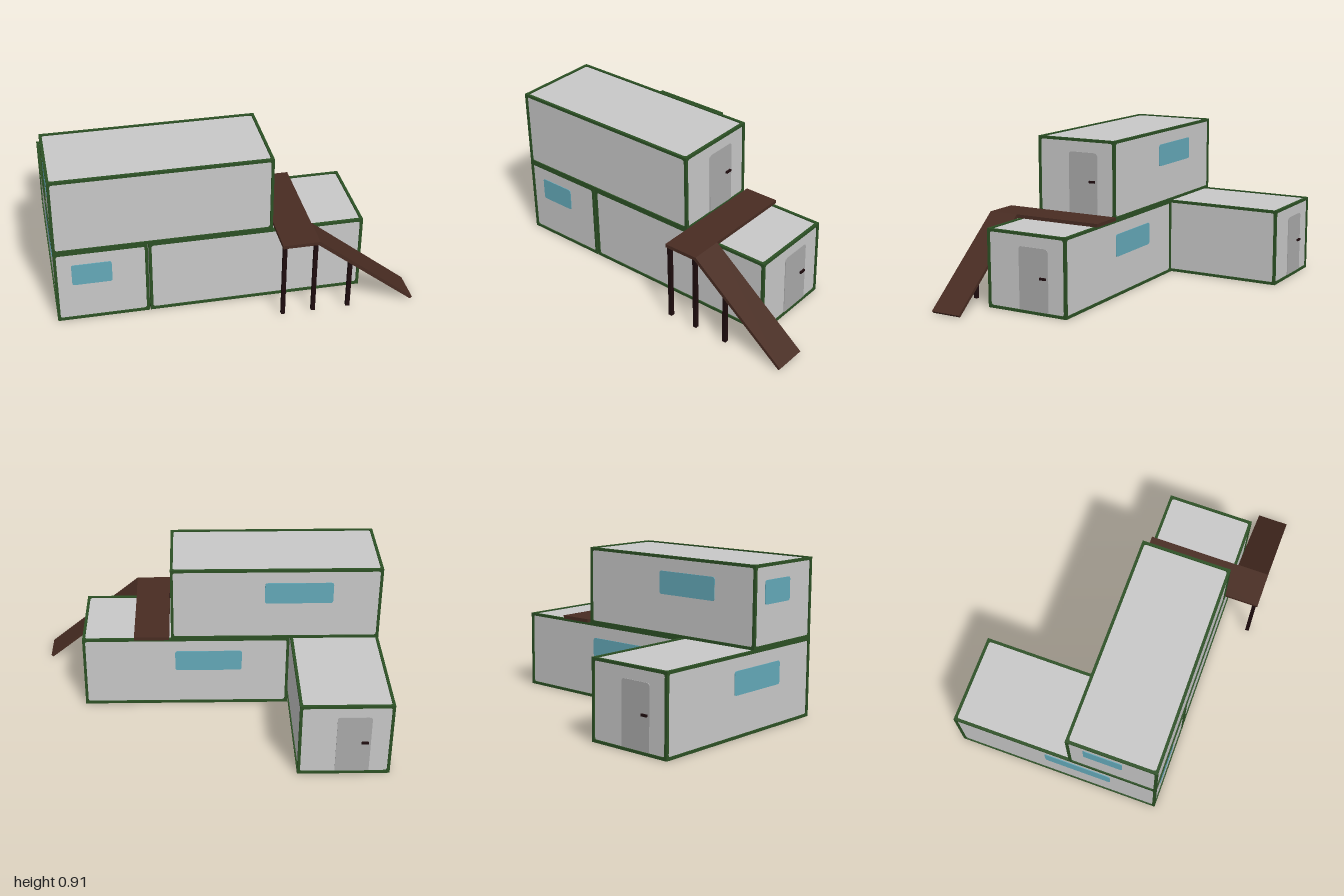
import * as THREE from 'three';

const mat = (name, color) => {
  const m = new THREE.MeshStandardMaterial({ color });
  m.name = name;
  return m;
};

export function createModel() {
  const green = mat('green frame', 0x2c5024);
  const grey = mat('grey panel', 0xc8c8c8);
  const doorGrey = mat('door grey', 0xaaaaaa);
  const glass = mat('window blue', 0x64a9b9);
  const wood = mat('brown wood', 0x482c22);
  const dark = mat('dark brown', 0x1e0c0e);

  const L = 1.218, W = 0.517, H = 0.455; // container size
  const EDGE = 0.016, INSET = 0.007;     // frame width and panel recess

  const add = (parent, name, geo, material, x = 0, y = 0, z = 0) => {
    const m = new THREE.Mesh(geo, material);
    m.name = name;
    m.position.set(x, y, z);
    parent.add(m);
    return m;
  };
  const box = (parent, name, material, w, h, d, x, y, z) =>
    add(parent, name, new THREE.BoxGeometry(w, h, d), material, x, y, z);

  // Rectangle with separate radii for its bottom and top corners
  const rounded = (path, w, h, rb, rt) => {
    const x = w / 2, y = h / 2;
    path.moveTo(-x + rb, -y);
    path.lineTo(x - rb, -y);
    path.quadraticCurveTo(x, -y, x, -y + rb);
    path.lineTo(x, y - rt);
    path.quadraticCurveTo(x, y, x - rt, y);
    path.lineTo(-x + rt, y);
    path.quadraticCurveTo(-x, y, -x, y - rt);
    path.lineTo(-x, -y + rb);
    path.quadraticCurveTo(-x, -y, -x + rb, -y);
    return path;
  };
  const extrude = (shape, depth) =>
    new THREE.ExtrudeGeometry(shape, { depth, bevelEnabled: false, curveSegments: 5 });
  const plate = (w, h, rb, rt) => extrude(rounded(new THREE.Shape(), w, h, rb, rt), 0.004);

  // Frame ring with a rounded opening, facing +z
  const ring = (w, h) => {
    const s = new THREE.Shape();
    s.moveTo(-w / 2, -h / 2);
    s.lineTo(w / 2, -h / 2);
    s.lineTo(w / 2, h / 2);
    s.lineTo(-w / 2, h / 2);
    s.closePath();
    s.holes.push(rounded(new THREE.Path(), w - 2 * EDGE, h - 2 * EDGE, 0.014, 0.014));
    return extrude(s, INSET);
  };

  // One container: door on +x end, windows on -x end and -z side
  const container = (name) => {
    const g = new THREE.Group();
    g.name = name;
    box(g, 'panels', grey, L - 2 * INSET, H - 2 * INSET, W - 2 * INSET, 0, H / 2, 0);
    const faces = [
      [L, H, W, 0, 0], [L, H, W, 0, Math.PI],
      [W, H, L, 0, Math.PI / 2], [W, H, L, 0, -Math.PI / 2],
      [L, W, H, Math.PI / 2, 0], [L, W, H, -Math.PI / 2, 0],
    ];
    for (const [w, h, depth, rx, ry] of faces) {
      const holder = new THREE.Group();
      holder.name = 'frameSide';
      holder.position.y = H / 2;
      holder.rotation.set(rx, ry, 0);
      add(holder, 'frame', ring(w, h), green, 0, 0, depth / 2 - INSET);
      g.add(holder);
    }
    // Door and handle
    const xDoor = L / 2 - INSET, zDoor = -0.045;
    add(g, 'door', plate(0.19, 0.36, 0.001, 0.02), doorGrey, xDoor, 0.197, zDoor)
      .rotation.y = Math.PI / 2;
    box(g, 'doorHandle', dark, 0.012, 0.013, 0.038, xDoor + 0.008, 0.209, -0.108);
    // Windows
    add(g, 'endWindow', plate(0.222, 0.132, 0.014, 0.014), glass, -L / 2 + INSET, 0.3, -0.053)
      .rotation.y = -Math.PI / 2;
    add(g, 'sideWindow', plate(0.395, 0.132, 0.016, 0.016), glass, -0.133, 0.3, -W / 2 + INSET)
      .rotation.y = Math.PI;
    return g;
  };

  const model = new THREE.Group();
  model.name = 'containerHouse';

  const lowerLong = container('lowerContainer');
  lowerLong.position.set(0.131, 0, 0.251);
  const lowerCross = container('crossContainer');
  lowerCross.rotation.y = Math.PI / 2;
  lowerCross.position.set(-0.7415, 0, -0.0985);
  const upper = container('upperContainer');
  upper.position.set(-0.391, H, 0.251);
  model.add(lowerLong, lowerCross, upper);

  // Hatch beneath the cross container
  box(model, 'floorHatch', dark, 0.2, 0.006, 0.22, -0.745, 0.005, -0.09);

  // Landing
  box(model, 'landing', wood, 0.206, 0.02, 0.727, 0.332, 0.466, 0.342);

  // Ramp from the landing to the ground
  const side = new THREE.Shape();
  side.moveTo(0.425, 0.476);
  side.lineTo(0.425, 0.458);
  side.lineTo(0.988, 0.002);
  side.lineTo(1, 0.014);
  side.lineTo(0.437, 0.476);
  side.closePath();
  add(model, 'ramp', extrude(side, 0.185), wood, 0, 0, 0.52);

  // Support posts along the outer edge
  for (const [x, h] of [[0.244, 0.458], [0.418, 0.458], [0.621, 0.308]])
    box(model, 'post', dark, 0.022, h, 0.022, x, h / 2, 0.685);

  return model;
}
